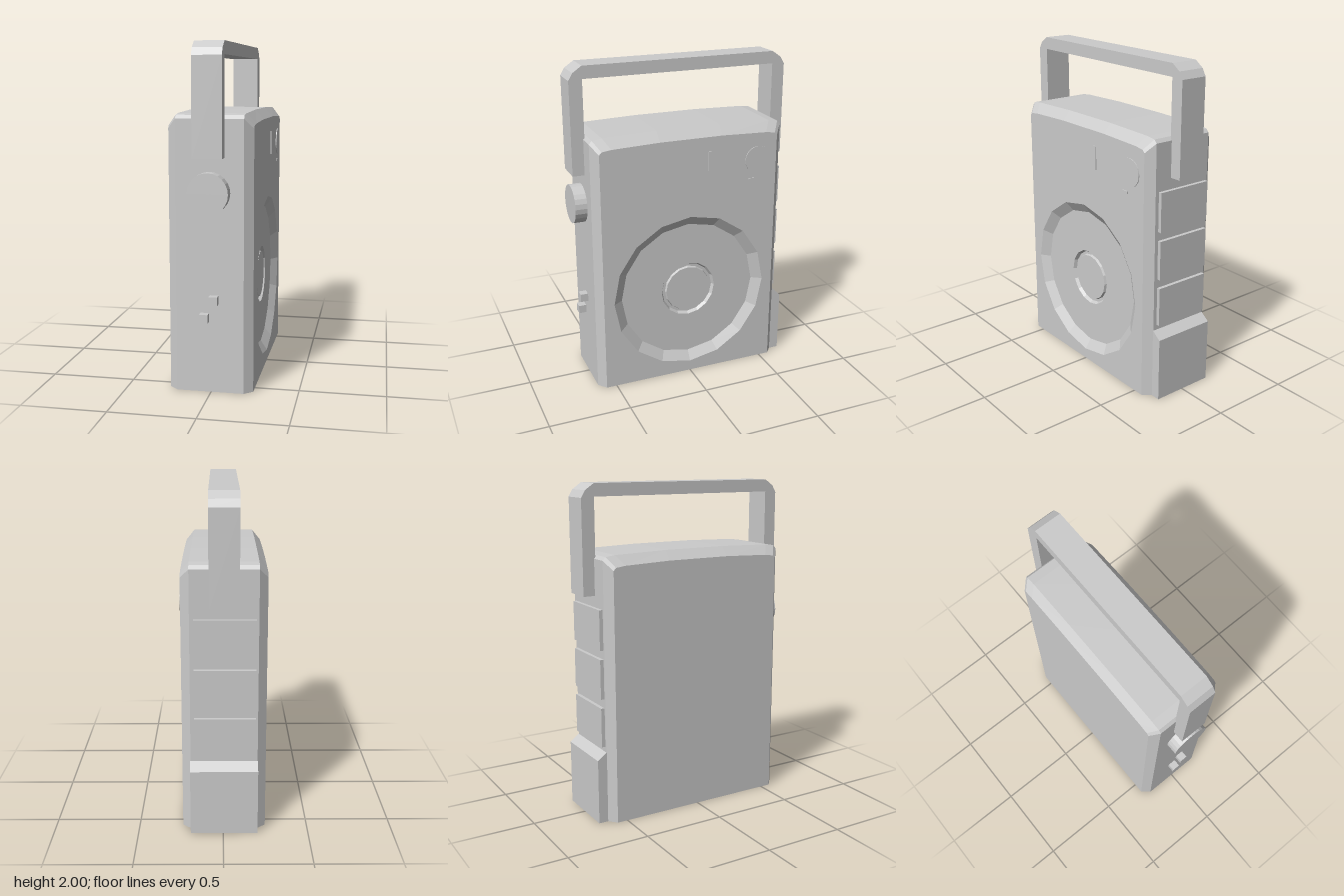
import * as THREE from 'three';

const material = new THREE.MeshStandardMaterial({ color: 0xcccccc, flatShading: true, side: THREE.DoubleSide });
const CX = -0.005; // middle of the case across its thickness

function add(parent, name, geometry, x = 0, y = 0, z = 0) {
  const mesh = new THREE.Mesh(geometry, material);
  mesh.name = name;
  mesh.position.set(x, y, z);
  parent.add(mesh);
  return mesh;
}

// box given by its minimum and maximum corners
function block(parent, name, [x0, y0, z0], [x1, y1, z1]) {
  return add(parent, name, new THREE.BoxGeometry(x1 - x0, y1 - y0, z1 - z0),
    (x0 + x1) / 2, (y0 + y1) / 2, (z0 + z1) / 2);
}

// mirror half an outline into a closed counter-clockwise loop
const mirrored = half => [...half, ...half.slice().reverse().filter(p => p[0] > 0).map(([u, v]) => [-u, v])];
const toShape = pts => new THREE.Shape(pts.map(([u, v]) => new THREE.Vector2(u, v)));

// skin through matching outlines placed at successive x
function loft(rings) {
  const pos = [];
  for (let r = 0; r < rings.length - 1; r++) {
    const [A, B] = [rings[r], rings[r + 1]], n = A.pts.length;
    const at = (ring, i) => [ring.x, ring.pts[i % n][1], -ring.pts[i % n][0]];
    for (let i = 0; i < n; i++) {
      const [a, b, c, d] = [at(A, i), at(A, i + 1), at(B, i + 1), at(B, i)];
      pos.push(...a, ...b, ...c, ...a, ...c, ...d);
    }
  }
  const g = new THREE.BufferGeometry();
  g.setAttribute('position', new THREE.Float32BufferAttribute(pos, 3));
  g.computeVertexNormals();
  return g;
}

export function createModel() {
  const model = new THREE.Group();
  model.name = 'portableRadio';

  // Case: chamfered along its four long edges and top, slightly domed
  const outer = mirrored([[0.608, 0], [0.608, 1.575], [0.59, 1.595], [0.53, 1.603], [0.2, 1.612]]);
  const inner = mirrored([[0.565, 0], [0.565, 1.52], [0.55, 1.537], [0.49, 1.545], [0.2, 1.555]]);
  const body = new THREE.Group();
  body.name = 'case';
  model.add(body);
  add(body, 'caseShell', loft([
    { x: -0.245, pts: inner }, { x: -0.195, pts: outer }, { x: 0.195, pts: outer }, { x: 0.245, pts: inner },
  ]), CX);
  add(body, 'plainPanel', new THREE.ShapeGeometry(toShape(inner)).rotateY(-Math.PI / 2), CX - 0.245);

  // Speaker side with a sixteen-sided opening
  const speakerY = 0.567, sides = 16;
  const panel = toShape(inner);
  const hole = [];
  for (let i = 0; i < sides; i++) {
    const a = -i / sides * Math.PI * 2;
    hole.push(new THREE.Vector2(0.5 * Math.cos(a), speakerY + 0.5 * Math.sin(a)));
  }
  panel.holes.push(new THREE.Path(hole));
  add(body, 'speakerPanel', new THREE.ShapeGeometry(panel).rotateY(Math.PI / 2), CX + 0.245);

  // Sunken speaker dish with a grooved centre
  const dish = [[0.5, 0], [0.44, -0.04], [0.178, -0.04], [0.167, -0.06], [0.15, -0.06], [0.145, -0.045], [0, -0.045]];
  add(model, 'speakerDish', new THREE.LatheGeometry(dish.map(([r, h]) => new THREE.Vector2(r, h)), sides)
    .rotateZ(-Math.PI / 2), CX + 0.245, speakerY);

  // Thin details on the speaker side
  add(model, 'roundBadge', new THREE.CylinderGeometry(0.085, 0.085, 0.008, 24).rotateZ(Math.PI / 2), 0.241, 1.38, -0.44);
  block(model, 'indicatorBar', [0.235, 1.32, -0.13], [0.245, 1.465, -0.107]);
  block(model, 'smallBar', [0.235, 1.25, -0.425], [0.245, 1.265, -0.38]);

  // Handle: one bent strap with cut corners
  const strap = toShape(mirrored([[0.6, 1.36], [0.68, 1.36], [0.68, 1.92], [0.655, 1.962], [0.6, 2]])
    .slice(1, -1).concat([[-0.6, 1.36], [-0.6, 1.925], [0.6, 1.925], [0.6, 1.36]]));
  add(model, 'handle', new THREE.ExtrudeGeometry(strap, { depth: 0.17, bevelEnabled: false })
    .translate(0, 0, -0.085).rotateY(Math.PI / 2), CX);

  // Front controls
  add(model, 'tuningKnob', new THREE.CylinderGeometry(0.118, 0.118, 0.08, 24).rotateX(Math.PI / 2), CX, 1.163, 0.64);
  for (const [x, y] of [[0.02, 0.55], [-0.035, 0.445]])
    block(model, 'frontButton', [x - 0.025, y - 0.025, 0.6], [x + 0.025, y + 0.025, 0.655]);

  // Back keys and the sloped foot below them
  for (const y of [1.055, 0.763, 0.47])
    block(model, 'backKey', [-0.187, y, -0.63], [0.167, y + 0.238, -0.6]);
  const foot = toShape([[0.6, 0], [0.665, 0], [0.665, 0.395], [0.605, 0.44], [0.6, 0.44]]);
  add(model, 'backFoot', new THREE.ExtrudeGeometry(foot, { depth: 0.394, bevelEnabled: false })
    .translate(0, 0, -0.197).rotateY(Math.PI / 2), CX);

  return model;
}
